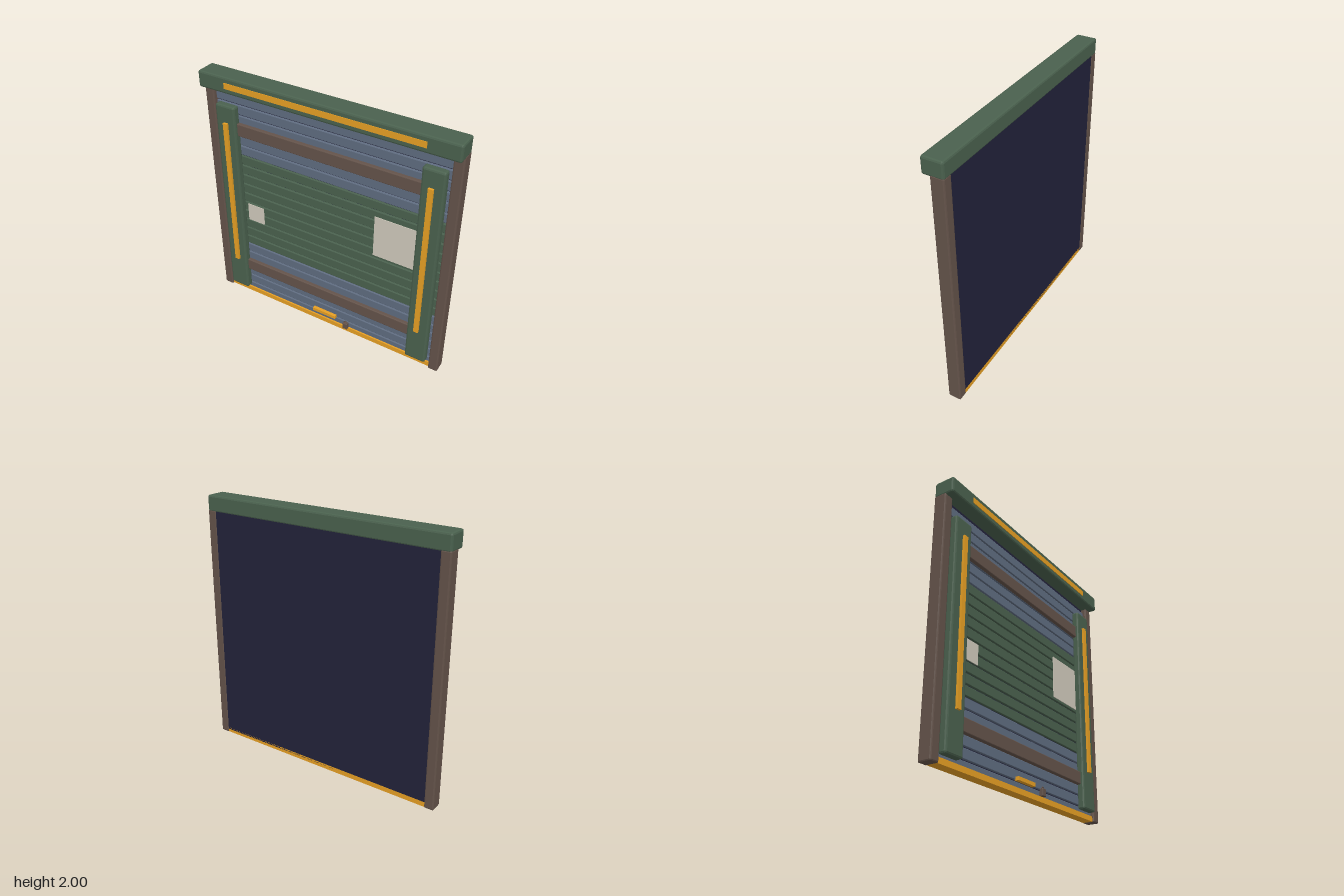
import * as THREE from 'three';
import { RoundedBoxGeometry } from 'three/addons/geometries/RoundedBoxGeometry.js';

const material = (name, color) => {
  const m = new THREE.MeshStandardMaterial({ color });
  m.name = name;
  return m;
};

export function createModel() {
  const green = material('green paint', 0x4a614e);
  const slate = material('slate paint', 0x5f6c80);
  const brown = material('brown metal', 0x64534a);
  const amber = material('amber trim', 0xe8a024);
  const pale = material('pale patch', 0xd0cabc);
  const navy = material('dark backing', 0x22223a);

  const door = new THREE.Group();
  door.name = 'shutterDoor';

  // Box given by its min and max corners, with optional chamfered edges
  function block(name, mat, [x0, y0, z0], [x1, y1, z1], chamfer = 0) {
    const size = [x1 - x0, y1 - y0, z1 - z0];
    const geo = chamfer
      ? new RoundedBoxGeometry(...size, 1, chamfer)
      : new THREE.BoxGeometry(...size);
    geo.computeVertexNormals(); // flat facets on the chamfers
    const mesh = new THREE.Mesh(geo, mat);
    mesh.name = name;
    mesh.position.set((x0 + x1) / 2, (y0 + y1) / 2, (z0 + z1) / 2);
    door.add(mesh);
  }

  // Header box with its trim strip
  block('header', green, [-1, 1.875, -0.08], [1, 2, 0.08], 0.014);
  block('headerTrim', amber, [-0.775, 1.915, 0.07], [0.77, 1.96, 0.084]);

  // Backing panel and bottom bar
  block('backing', navy, [-0.93, 0.03, -0.077], [0.93, 1.89, -0.025]);
  block('bottomBar', amber, [-0.93, 0.005, -0.077], [0.93, 0.045, 0.005]);

  // Slats, with a green band across the middle
  const pitch = 0.0834;
  for (let i = 0; i < 22; i++) {
    const top = 1.845 - i * pitch;
    const mat = i >= 6 && i < 16 ? green : slate;
    block('slat', mat, [-0.925, Math.max(top - pitch + 0.006, 0.012), -0.05],
      [0.925, top - 0.006, -0.008], 0.004);
  }

  // Side jambs, pilasters and their trim strips
  for (const s of [-1, 1]) {
    const sided = (name, mat, a, b, y0, y1, z0, z1, c) =>
      block(name, mat, [Math.min(s * a, s * b), y0, z0], [Math.max(s * a, s * b), y1, z1], c);
    sided('jamb', brown, 0.925, 1, 0, 1.89, -0.08, 0.02, 0.01);
    sided('pilaster', green, 0.735, 0.902, 0.065, 1.755, -0.015, 0.046, 0.014);
    sided('pilasterTrim', amber, 0.795, 0.832, 0.36, 1.62, 0.04, 0.064);
  }

  // Horizontal rails
  for (const y of [0.255, 1.52]) {
    block('rail', brown, [-0.76, y, -0.02], [0.76, y + 0.1, 0.02], 0.006);
  }

  // Thin pale patches on the slats
  block('largePatch', pale, [0.4, 0.87, -0.009], [0.74, 1.21, -0.003]);
  block('smallPatch', pale, [-0.708, 0.765, -0.009], [-0.56, 0.915, -0.003]);

  // Pull handle and padlock
  block('handle', amber, [-0.105, 0.093, -0.015], [0.102, 0.12, 0.018]);
  block('padlockBody', brown, [0.178, 0.045, 0], [0.22, 0.1, 0.03], 0.004);
  const shackle = new THREE.Mesh(new THREE.TorusGeometry(0.013, 0.004, 6, 12, Math.PI), brown);
  shackle.name = 'padlockShackle';
  shackle.position.set(0.199, 0.1, 0.014);
  door.add(shackle);

  return door;
}
